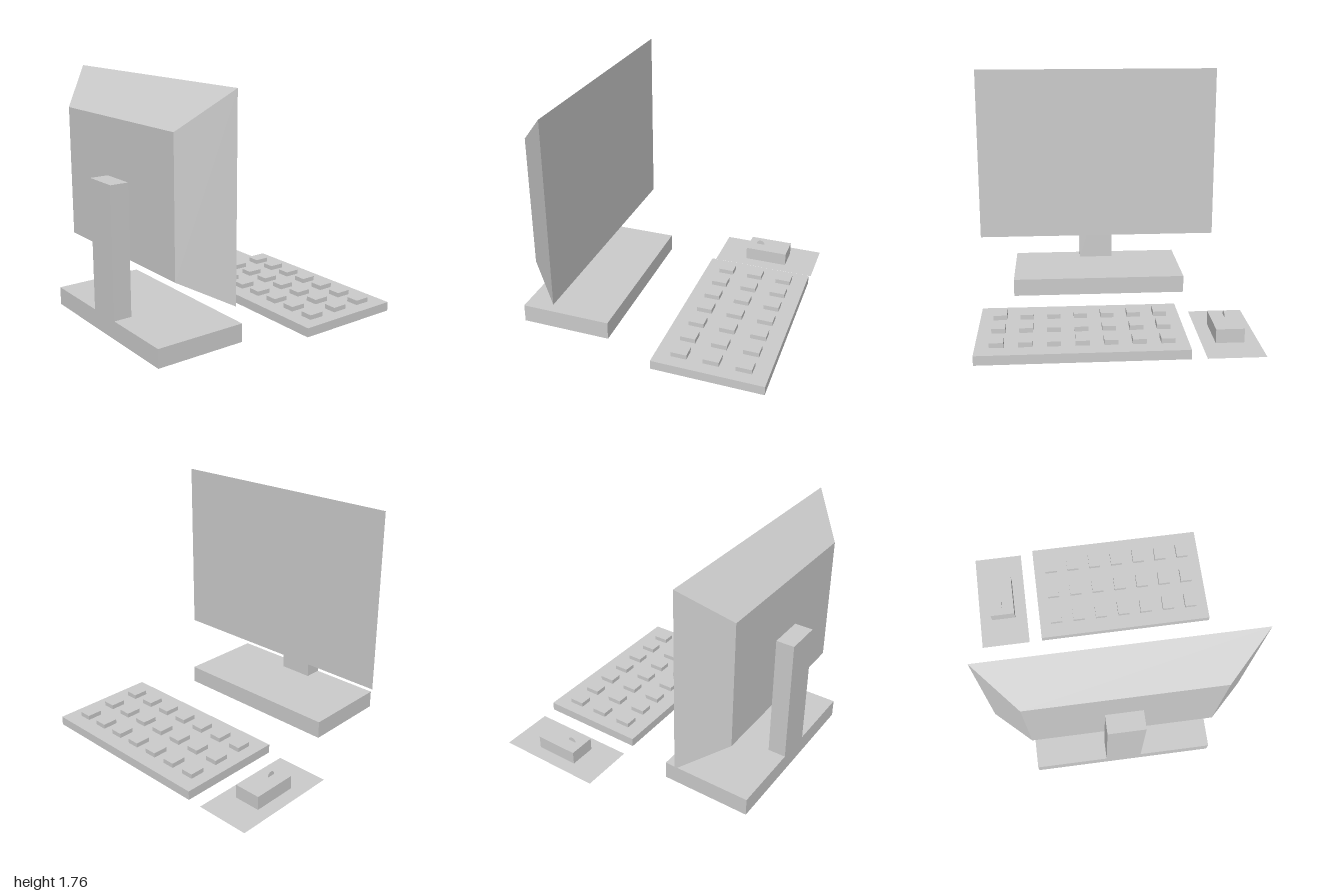
import * as THREE from 'three';

const grey = new THREE.MeshStandardMaterial({ color: 0xcccccc, flatShading: true });
const thin = new THREE.MeshStandardMaterial({ color: 0xcccccc, flatShading: true, side: THREE.DoubleSide });

// Box given by its minimum and maximum corners
function block(name, [x0, y0, z0], [x1, y1, z1]) {
  const mesh = new THREE.Mesh(new THREE.BoxGeometry(x1 - x0, y1 - y0, z1 - z0), grey);
  mesh.position.set((x0 + x1) / 2, (y0 + y1) / 2, (z0 + z1) / 2);
  mesh.name = name;
  return mesh;
}

export function createModel() {
  const model = new THREE.Group();
  model.name = 'desktopComputer';

  // Monitor: tapered housing on a post and base
  const monitor = new THREE.Group();
  monitor.name = 'monitor';
  const housing = block('housing', [-0.9, 0.41, 0.54], [1, 1.765, 0.81]);
  const pos = housing.geometry.attributes.position;
  for (let i = 0; i < pos.count; i++) {
    if (pos.getZ(i) < 0) continue;
    // pull the +z face inward, less at the bottom edge
    pos.setX(i, pos.getX(i) - Math.sign(pos.getX(i)) * 0.272);
    pos.setY(i, pos.getY(i) + (pos.getY(i) > 0 ? -0.27 : 0.135));
  }
  housing.geometry.computeVertexNormals();
  monitor.add(
    housing,
    block('post', [-0.085, 0.135, 0.81], [0.185, 1.085, 0.945]),
    block('base', [-0.628, 0, 0.27], [0.728, 0.135, 0.945])
  );

  // Keyboard: slab with three rows of seven keys
  const keyboard = new THREE.Group();
  keyboard.name = 'keyboard';
  keyboard.add(block('keyboardBody', [-0.493, 0, -0.95], [0.94, 0.067, -0.14]));
  for (let row = 0; row < 3; row++) {
    for (let col = 0; col < 7; col++) {
      const x = -0.4 + col * 0.1915;
      const z = -0.835 + row * 0.232;
      keyboard.add(block('key', [x, 0.067, z], [x + 0.095, 0.101, z + 0.115]));
    }
  }

  // Mouse with a thin scroll wheel, lying on a flat mat
  const mouse = new THREE.Group();
  mouse.name = 'mouse';
  mouse.add(block('mouseBody', [-0.9, 0, -0.712], [-0.7, 0.101, -0.378]));
  const wheel = new THREE.Mesh(new THREE.CircleGeometry(0.033, 24), thin);
  wheel.name = 'scrollWheel';
  wheel.rotation.y = Math.PI / 2;
  wheel.position.set(-0.8, 0.102, -0.472);
  mouse.add(wheel);

  const mat = new THREE.Mesh(new THREE.PlaneGeometry(0.4, 0.81), thin);
  mat.name = 'mouseMat';
  mat.rotation.x = -Math.PI / 2;
  mat.position.set(-0.8, 0, -0.545);

  model.add(monitor, keyboard, mouse, mat);
  return model;
}
